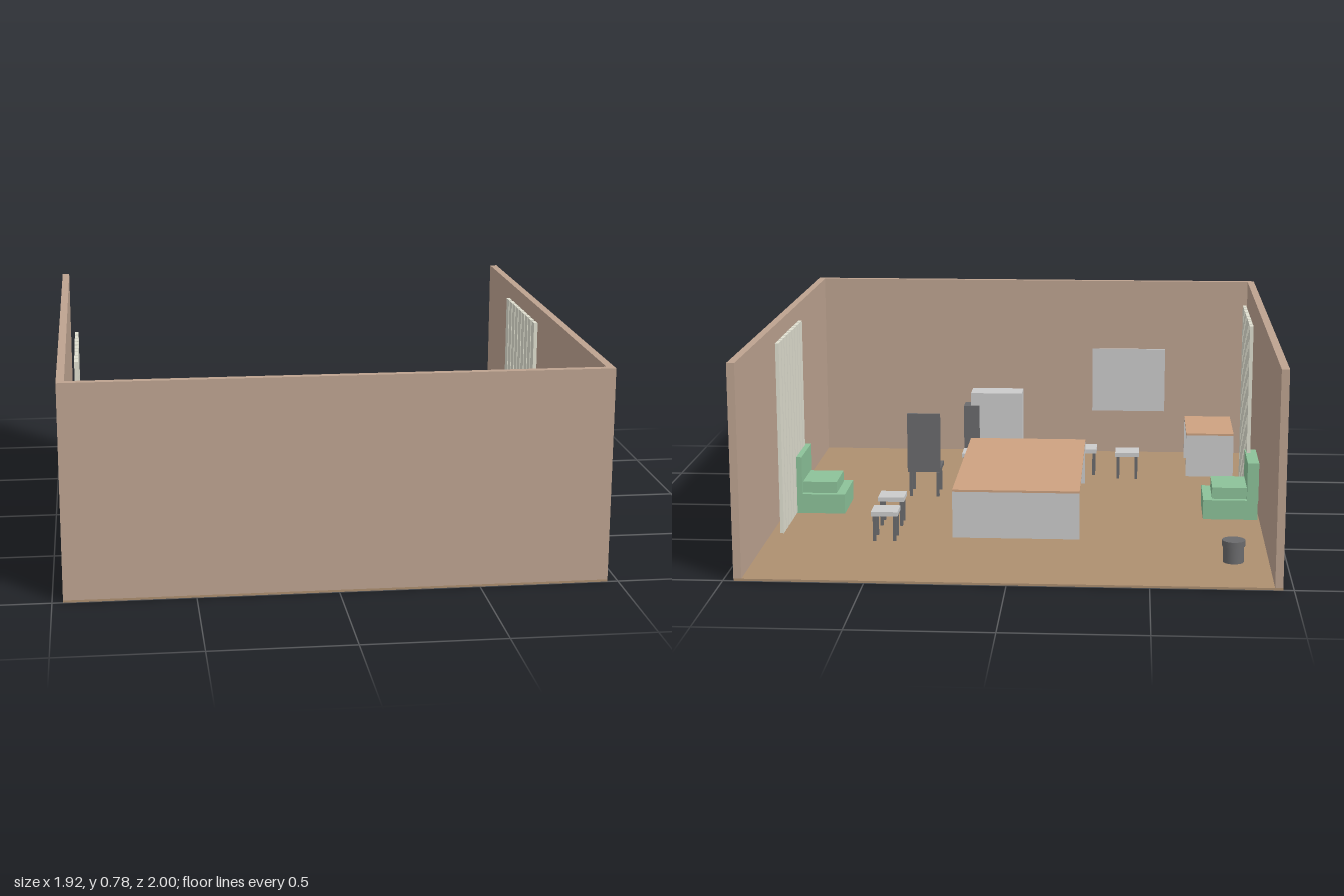
import * as THREE from 'three';

const mat = (color) => new THREE.MeshStandardMaterial({ color });
const M = {
  grey: mat(0xcccccc), wall: mat(0xbda390), floor: mat(0xad8f70), wood: mat(0xcda281),
  green: mat(0x8cc299), dark: mat(0x6a6a6c), cream: mat(0xe0dfd0),
};

// Box given by its low and high limits on each axis
function box(parent, name, material, x0, x1, y0, y1, z0, z1) {
  const mesh = new THREE.Mesh(new THREE.BoxGeometry(x1 - x0, y1 - y0, z1 - z0), material);
  mesh.position.set((x0 + x1) / 2, (y0 + y1) / 2, (z0 + z1) / 2);
  mesh.name = name;
  parent.add(mesh);
  return mesh;
}

function group(parent, name, x = 0, z = 0) {
  const g = new THREE.Group();
  g.name = name;
  g.position.set(x, 0, z);
  parent.add(g);
  return g;
}

// Four square legs at the corners of a half-width by half-depth footprint
function legs(parent, hx, hz, top, t, material) {
  for (const sx of [-1, 1]) for (const sz of [-1, 1]) {
    const x = sx * hx, z = sz * hz;
    box(parent, 'leg', material, x - t, x + t, 0.008, top, z - t, z + t);
  }
}

// Table: thin wooden top on two end panels
function table(parent, name, x, z, w, d, h) {
  const g = group(parent, name, x, z);
  box(g, 'tableTop', M.wood, -w / 2, w / 2, h - 0.008, h, -d / 2, d / 2);
  for (const s of [-1, 1]) {
    const z0 = s * (d / 2 - 0.006);
    box(g, 'endPanel', M.grey, -w / 2, w / 2, 0.008, h - 0.008, z0 - 0.006, z0 + 0.006);
  }
}

function stool(parent, x, z) {
  const g = group(parent, 'stool', x, z);
  box(g, 'stoolSeat', M.grey, -0.05, 0.05, 0.105, 0.122, -0.05, 0.05);
  legs(g, 0.038, 0.038, 0.105, 0.006, M.dark);
}

// Armchair with its back towards +x
function armchair(parent, x, turn) {
  const g = group(parent, 'armchair', x, -0.017);
  box(g, 'armchairBase', M.green, -0.107, 0.105, 0.004, 0.085, -0.115, 0.115);
  box(g, 'armchairCushion', M.green, -0.072, 0.063, 0.085, 0.13, -0.092, 0.092);
  box(g, 'armchairBack', M.green, 0.063, 0.107, 0.085, 0.235, -0.115, 0.115);
  g.rotation.y = turn;
}

// Curtain made of separate slats along z
function curtain(parent, x, z0) {
  const g = group(parent, 'curtain', x, z0);
  const n = 9, pitch = 0.0575;
  for (let i = 0; i < n; i++) {
    box(g, 'curtainSlat', M.cream, -0.007, 0.007, 0.01, 0.745, i * pitch, i * pitch + 0.046);
  }
}

export function createModel() {
  const room = new THREE.Group();
  room.name = 'room';

  // Floor and three walls, open at the back
  const H = 0.78, T = 0.028;
  box(room, 'floor', M.floor, -0.962, 0.962, 0, 0.008, -1, 1);
  box(room, 'leftWall', M.wall, 0.962 - T, 0.962, 0.008, H, -1, 1);
  box(room, 'rightWall', M.wall, -0.962, T - 0.962, 0.008, H, -1, 1);
  box(room, 'frontWall', M.wall, T - 0.962, 0.962 - T, 0.008, H, 1 - T, 1);

  // Curtains and wall panels
  curtain(room, 0.893, -0.43);
  curtain(room, -0.897, 0.04);
  box(room, 'wallBoard', M.grey, -0.577, -0.257, 0.2, 0.48, 0.95, 0.96);
  box(room, 'wallPanel', M.grey, -0.935, -0.93, 0.2, 0.48, 0.55, 0.87);

  // Tables and stools
  table(room, 'mainTable', 0, -0.018, 0.48, 0.85, 0.195);
  table(room, 'sideTable', -0.765, 0.71, 0.2, 0.34, 0.195);
  for (const [x, z] of [[0.49, -0.46], [0.49, -0.25], [0.23, 0.473], [-0.415, 0.525], [-0.235, 0.58]]) {
    stool(room, x, z);
  }

  // Facing armchairs against the side walls
  armchair(room, 0.802, 0);
  armchair(room, -0.822, Math.PI);

  // Desk chair
  const chair = group(room, 'deskChair', 0.41, 0.21);
  box(chair, 'chairSeat', M.dark, -0.067, 0.067, 0.11, 0.128, -0.06, 0.07);
  box(chair, 'chairBack', M.dark, -0.067, 0.067, 0.128, 0.355, -0.07, -0.058);
  legs(chair, 0.055, 0.055, 0.11, 0.006, M.dark);

  // Cabinet with a dark unit beside it
  box(room, 'cabinet', M.grey, 0.042, 0.262, 0.001, 0.33, 0.677, 0.79);
  box(room, 'cabinetSideUnit', M.dark, 0.225, 0.292, 0.001, 0.275, 0.668, 0.745);

  // Round bin with a lid
  const bin = group(room, 'bin', -0.805, -0.692);
  for (const [name, r, y0, y1] of [['binBody', 0.038, 0.001, 0.068], ['binLid', 0.042, 0.068, 0.09]]) {
    const m = new THREE.Mesh(new THREE.CylinderGeometry(r, r, y1 - y0, 24), M.dark);
    m.position.y = (y0 + y1) / 2;
    m.name = name;
    bin.add(m);
  }
  return room;
}
